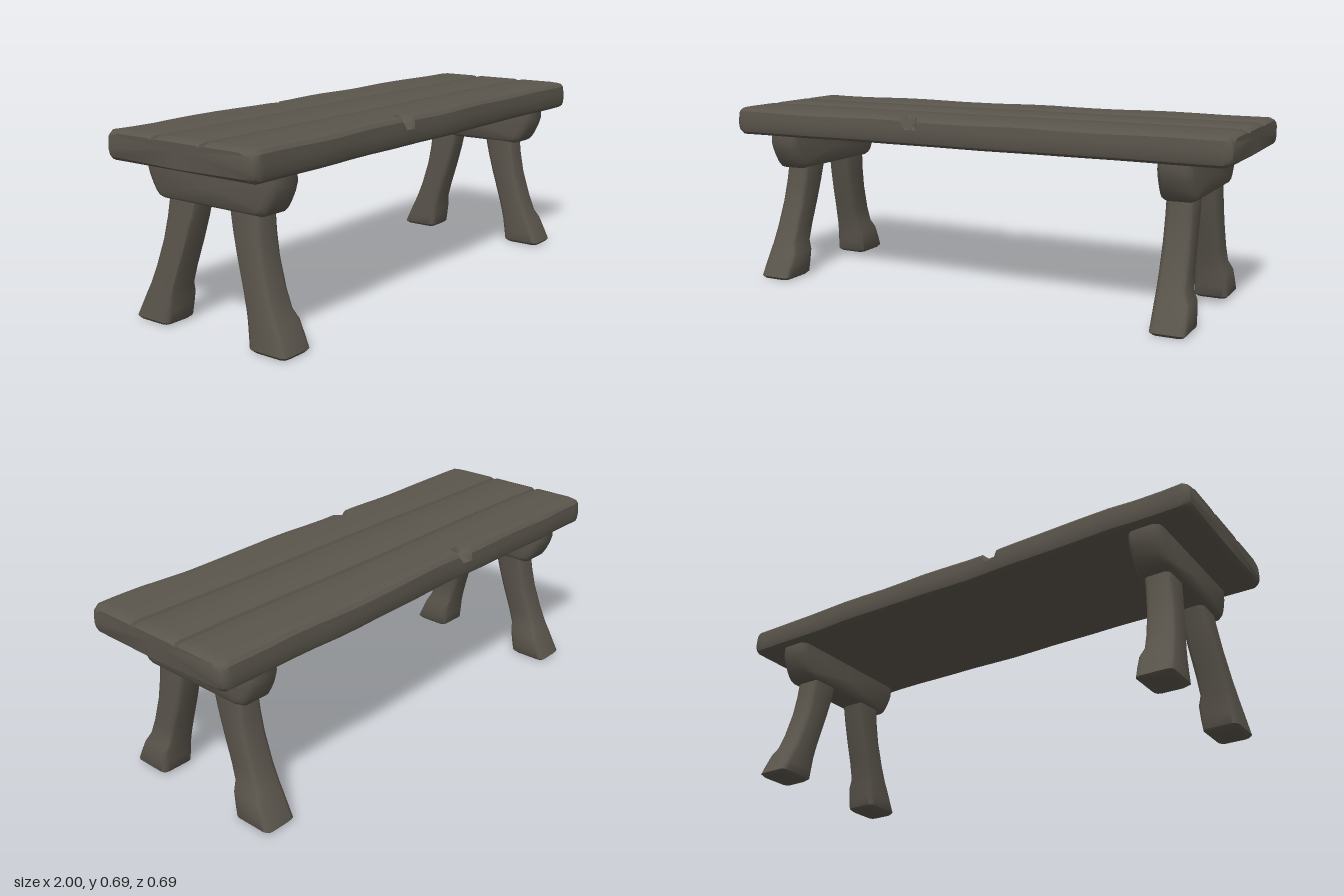
import * as THREE from 'three';
import { toCreasedNormals } from 'three/addons/utils/BufferGeometryUtils.js';

// Skin a list of equal-length rings and close both ends with a fan
function loft(rings, crease = 0.6) {
  const n = rings[0].length, pos = [], index = [];
  rings.forEach(r => r.forEach(p => pos.push(...p)));
  for (let i = 0; i < rings.length - 1; i++) {
    for (let j = 0; j < n; j++) {
      const a = i * n + j, b = i * n + (j + 1) % n;
      index.push(a, b, b + n, a, b + n, a + n);
    }
  }
  [0, rings.length - 1].forEach((ri, end) => {
    const c = pos.length / 3, base = ri * n;
    pos.push(...[0, 1, 2].map(k => rings[ri].reduce((s, p) => s + p[k], 0) / n));
    for (let j = 0; j < n; j++) {
      const a = base + j, b = base + (j + 1) % n;
      if (end) index.push(c, a, b); else index.push(c, b, a);
    }
  });
  const geo = new THREE.BufferGeometry();
  geo.setAttribute('position', new THREE.Float32BufferAttribute(pos, 3));
  geo.setIndex(index);
  return toCreasedNormals(geo, crease);
}

// Complete a half outline of [z, y] points (top centre to bottom centre)
const mirrorOutline = half => [...half, ...half.slice(1, -1).reverse().map(([z, y]) => [-z, y])];

// Three-plank top: grooved outline, worn edges, split notches, chamfered ends
function seatGeometry() {
  const outline = mirrorOutline([
    [0, 0.687], [0.088, 0.687], [0.098, 0.682], [0.107, 0.664], [0.116, 0.682], [0.126, 0.687],
    [0.2, 0.687], [0.27, 0.687], [0.3, 0.687], [0.316, 0.684], [0.327, 0.672],
    [0.33, 0.64], [0.33, 0.605], [0.325, 0.59], [0.31, 0.58], [0, 0.58],
  ]);
  const xs = [-1, -0.992, -0.975, -0.95, -0.235, -0.215, -0.2, -0.185, -0.165, 0.95, 0.975, 0.992, 1];
  for (let i = -9; i <= 9; i++) if (i !== -2) xs.push(i / 10);
  xs.sort((a, b) => a - b);
  return loft(xs.map(x => {
    const d = Math.max(0, (Math.abs(x) - 0.975) / 0.025);
    const inset = 0.016 * d * d;
    const notch = Math.max(0, 1 - Math.abs(x + 0.2) / 0.035);
    return outline.map(([z, y]) => {
      const s = Math.sign(z), edge = Math.abs(z) > 0.29;
      let zz = z, yy = y;
      if (Math.abs(z) < 0.2) zz += 0.003 * Math.sin(5 * x + 2 * s) * Math.abs(s);
      if (edge) {
        zz += s * (0.004 * Math.sin(7 * x + s) + 0.002 * Math.sin(17 * x));
        if (s < 0 && x < -0.6) zz -= 0.006;
        if (y > 0.66) {
          yy -= 0.004 * (1 + Math.sin(11 * x + 2 * s)) / 2 + 0.028 * notch;
          zz -= s * 0.022 * notch;
        }
        zz -= s * inset;
      }
      yy += (yy > 0.63 ? -1 : 1) * inset * (edge ? 1 : 0.7);
      return [x, yy, zz];
    });
  }));
}

// Cross beam with a rounded belly
function beamGeometry(x0, x1) {
  const outline = mirrorOutline([
    [0, 0.583], [0.295, 0.583], [0.297, 0.55], [0.288, 0.52], [0.272, 0.487],
    [0.255, 0.46], [0.24, 0.447], [0.22, 0.441], [0, 0.441],
  ]);
  const stations = [[x0, 0.9], [x0 + 0.006, 0.955], [x0 + 0.022, 1],
    [x1 - 0.022, 1], [x1 - 0.006, 0.955], [x1, 0.9]];
  return loft(stations.map(([x, s]) =>
    outline.map(([z, y]) => [x, 0.583 + (y - 0.583) * s, z * s])), 0.8);
}

// Curved leg with a flared foot; each station is y, inner z, outer z
const legPath = [
  [0, 0.2, 0.337], [0.01, 0.188, 0.345], [0.05, 0.182, 0.326], [0.1, 0.174, 0.302],
  [0.135, 0.166, 0.284], [0.2, 0.147, 0.258], [0.3, 0.115, 0.227],
  [0.38, 0.092, 0.212], [0.46, 0.073, 0.203],
];
function legGeometry(side, front) {
  const top = side > 0 ? [0.745, 0.842] : [-0.853, -0.757];
  const foot = side > 0 ? [0.742, 0.852] : [-0.9, -0.787];
  return loft(legPath.map(([y, zi, zo]) => {
    const t = y / 0.46;
    const flare = 0.02 * THREE.MathUtils.clamp((0.14 - y) / 0.045, 0, 1);
    const trim = y === 0 ? 0.01 : 0;
    const x0 = THREE.MathUtils.lerp(foot[0], top[0], t) + trim;
    const x1 = THREE.MathUtils.lerp(foot[1], top[1], t) + flare - trim;
    const [z0, z1] = front > 0 ? [zi, zo] : [-zo, -zi];
    const ring = [], r = 0.018;
    // Rounded rectangle, three points per corner
    [[1, 1], [-1, 1], [-1, -1], [1, -1]].forEach(([sz, sx], k) => {
      for (let i = 0; i < 3; i++) {
        const a = (k + i / 2) * Math.PI / 2;
        ring.push([(sx > 0 ? x1 - r : x0 + r) + r * Math.sin(a), y,
          (sz > 0 ? z1 - r : z0 + r) + r * Math.cos(a)]);
      }
    });
    return ring;
  }), 0.8);
}

export function createModel() {
  const group = new THREE.Group();
  const wood = new THREE.MeshStandardMaterial({ color: 0x5a554c });
  wood.name = 'weathered wood';
  const add = (name, geo) => {
    const mesh = new THREE.Mesh(geo, wood);
    mesh.name = name;
    group.add(mesh);
  };

  add('seat', seatGeometry());
  for (const side of [-1, 1]) {
    const label = side > 0 ? 'Left' : 'Right';
    add('crossBeam' + label, side > 0 ? beamGeometry(0.735, 0.863) : beamGeometry(-0.872, -0.744));
    for (const front of [-1, 1]) {
      add((front > 0 ? 'frontLeg' : 'backLeg') + label, legGeometry(side, front));
    }
  }
  return group;
}
